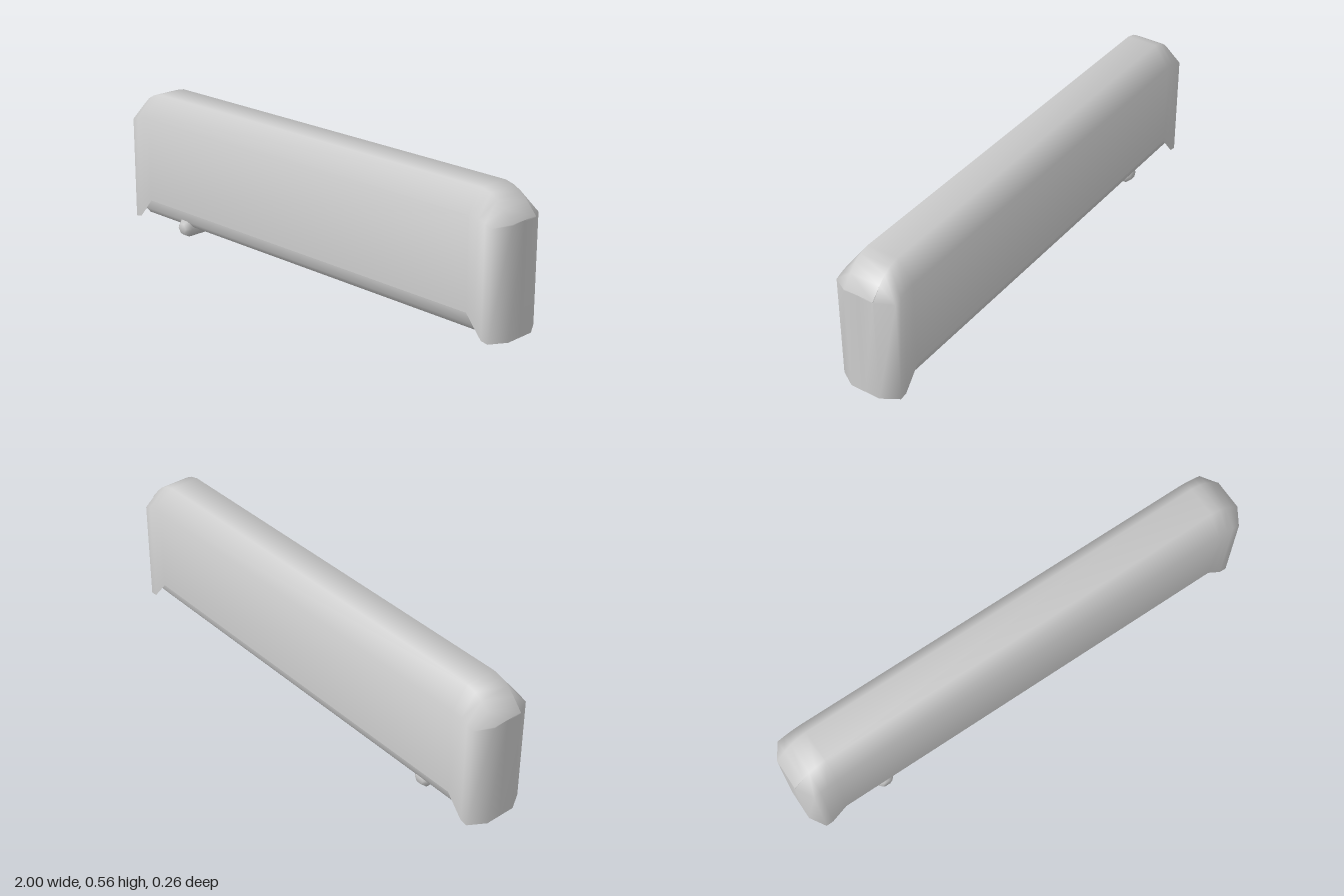
import * as THREE from 'three';
import { toCreasedNormals } from 'three/addons/utils/BufferGeometryUtils.js';

const grey = new THREE.MeshStandardMaterial({ color: 0xcccccc, side: THREE.DoubleSide });

function part(name, geometry) {
  const mesh = new THREE.Mesh(geometry, grey);
  mesh.name = name;
  return mesh;
}

// Hollow cover lofted along x from mirrored cross-sections
function coverGeometry() {
  // x, half depth, bottom edge, shoulder height, top half depth, top height
  const half = [
    [1, 0, 0.025, 0.455, 0, 0.46],
    [1, 0.063, 0.025, 0.455, 0.062, 0.46],
    [0.96, 0.128, 0.025, 0.45, 0.063, 0.505],
    [0.93, 0.128, 0.03, 0.462, 0.064, 0.533],
    [0.9, 0.128, 0.066, 0.47, 0.064, 0.55],
    [0.86, 0.128, 0.115, 0.475, 0.064, 0.56],
  ];
  const stations = [
    ...half.map(([x, ...rest]) => [-x, ...rest]),
    ...half.slice().reverse(),
  ];
  const positions = [];
  const index = [];
  const n = 6;
  stations.forEach(([x, d, bottom, shoulder, td, top], s) => {
    positions.push(x, bottom, -d, x, shoulder, -d, x, top, -td);
    positions.push(x, top, td, x, shoulder, d, x, bottom, d);
    if (s === 0) return;
    for (let i = 0; i < n - 1; i++) {
      const a = (s - 1) * n + i;
      const b = s * n + i;
      index.push(a, a + 1, b, b, a + 1, b + 1);
    }
  });
  const geometry = new THREE.BufferGeometry();
  geometry.setAttribute('position', new THREE.Float32BufferAttribute(positions, 3));
  geometry.setIndex(index);
  return toCreasedNormals(geometry, 1.1);
}

// Solid body whose bevelled underside shows below the cover
function coreGeometry() {
  const side = [[0.118, 0.15], [0.116, 0.105], [0.105, 0.065], [0.088, 0.042], [0.07, 0.034]];
  const outline = [...side, ...side.slice().reverse().map(([z, y]) => [-z, y])];
  const shape = new THREE.Shape(outline.map(([z, y]) => new THREE.Vector2(z, y)));
  const geometry = new THREE.ExtrudeGeometry(shape, { depth: 1.84, bevelEnabled: false });
  geometry.translate(0, 0, -0.92);
  geometry.rotateY(Math.PI / 2);
  return toCreasedNormals(geometry, 0.8);
}

// Six-sided rod with tapered ends, lying front to back
function rodGeometry() {
  const profile = [[0, -0.093], [0.022, -0.093], [0.041, -0.073], [0.041, 0.1], [0.022, 0.12], [0, 0.12]];
  const points = profile.map(([r, z]) => new THREE.Vector2(r, z));
  const geometry = new THREE.LatheGeometry(points, 6, Math.PI / 2);
  geometry.rotateX(Math.PI / 2);
  return geometry;
}

export function createModel() {
  const model = new THREE.Group();
  model.name = 'coveredUnit';
  const rod = part('bottomRod', rodGeometry());
  rod.position.set(-0.675, 0.0355, 0);
  model.add(part('cover', coverGeometry()), part('core', coreGeometry()), rod);
  return model;
}
